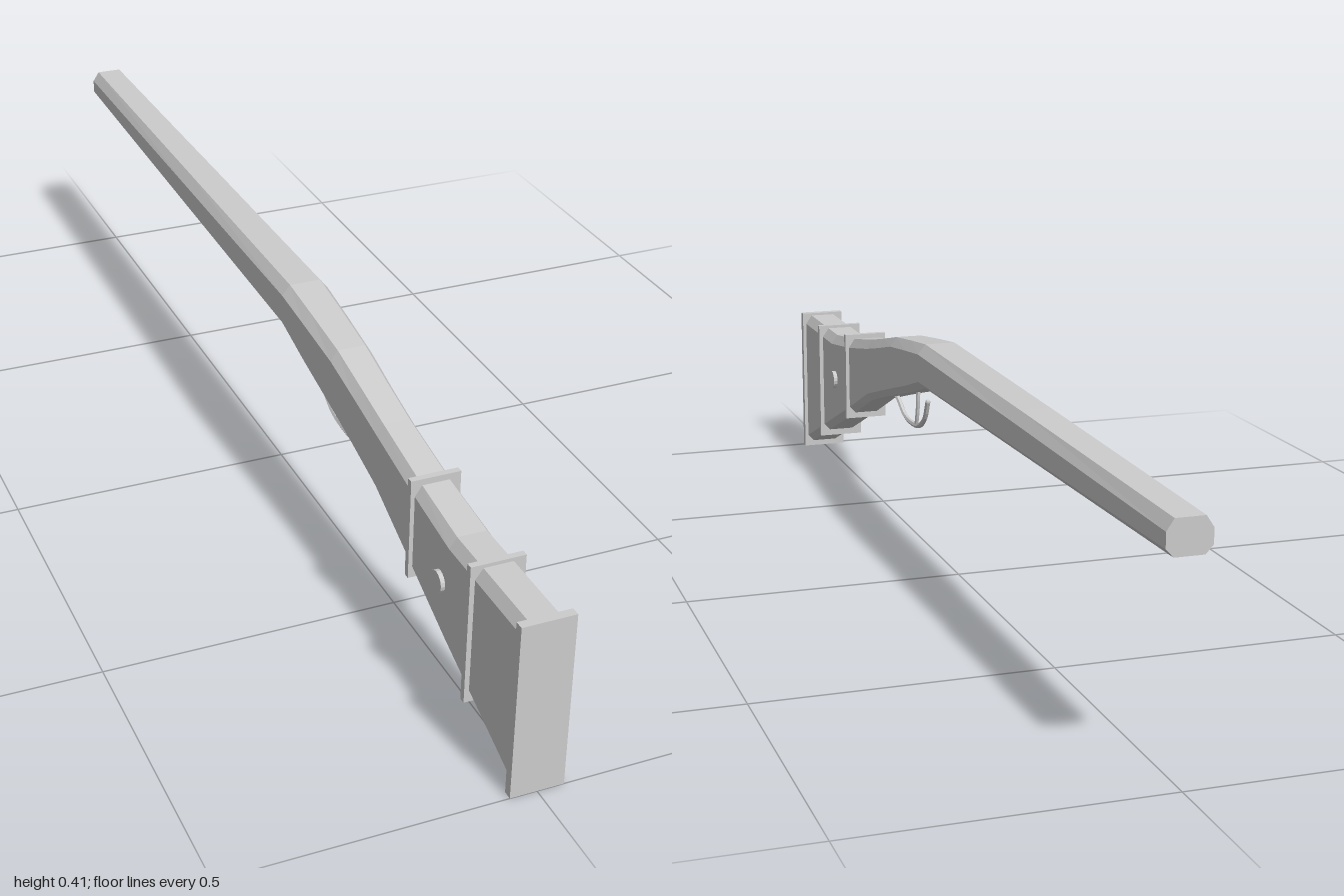
import * as THREE from 'three';

const grey = new THREE.MeshStandardMaterial({ color: 0xcccccc });
grey.name = 'plain grey';
grey.flatShading = true;

// Loft of chamfered cross-sections: [z, bottom, top, half width], ordered from butt to muzzle
function loftBody(sections) {
  const rings = sections.map(([z, b, t, w]) => {
    const f = w * 0.66, ct = 0.018, cb = 0.013;
    return [
      [f, t], [w, t - ct], [w, b + cb], [f, b],
      [-f, b], [-w, b + cb], [-w, t - ct], [-f, t],
    ].map(([x, y]) => new THREE.Vector3(x, y, z));
  });
  const pts = [];
  const n = 8;
  for (let i = 0; i < rings.length - 1; i++) {
    for (let j = 0; j < n; j++) {
      const k = (j + 1) % n;
      const a = rings[i][j], b = rings[i][k], c = rings[i + 1][k], d = rings[i + 1][j];
      pts.push(a, b, c, a, c, d);
    }
  }
  // End caps
  const first = rings[0], last = rings[rings.length - 1];
  for (let j = 1; j < n - 1; j++) {
    pts.push(first[0], first[j + 1], first[j]);
    pts.push(last[0], last[j], last[j + 1]);
  }
  const geo = new THREE.BufferGeometry().setFromPoints(pts);
  geo.computeVertexNormals();
  return geo;
}

export function createModel() {
  const group = new THREE.Group();
  const add = (name, geo, x = 0, y = 0, z = 0) => {
    const mesh = new THREE.Mesh(geo, grey);
    mesh.name = name;
    mesh.position.set(x, y, z);
    group.add(mesh);
    return mesh;
  };

  // Stock and barrel in one continuous body
  add('stockAndBarrel', loftBody([
    [0.99, 0.009, 0.297, 0.037],
    [0.76, 0.103, 0.297, 0.037],
    [0.63, 0.157, 0.314, 0.035],
    [0.49, 0.217, 0.340, 0.034],
    [0.40, 0.243, 0.360, 0.035],
    [0.31, 0.268, 0.381, 0.037],
    [0.20, 0.298, 0.396, 0.040],
    [0.11, 0.325, 0.407, 0.042],
    [-0.40, 0.332, 0.402, 0.039],
    [-1.00, 0.340, 0.395, 0.035],
  ]));

  // Square bands around the stock and the butt plate: [name, z, bottom, top, width, thickness]
  for (const [name, z, b, t, w, d] of [
    ['buttPlate', 0.9925, 0, 0.302, 0.088, 0.015],
    ['rearBand', 0.84, 0.06, 0.303, 0.09, 0.011],
    ['frontBand', 0.63, 0.148, 0.324, 0.084, 0.011],
  ]) add(name, new THREE.BoxGeometry(w, t - b, d), 0, (b + t) / 2, z);

  // Round stud on each side of the stock
  for (const s of [1, -1]) {
    const stud = add(s > 0 ? 'leftStud' : 'rightStud',
      new THREE.CylinderGeometry(0.018, 0.018, 0.012, 16), s * 0.038, 0.207, 0.735);
    stud.rotation.z = Math.PI / 2;
  }

  // Curved trigger guard
  const guard = new THREE.CatmullRomCurve3([
    [0.40, 0.248], [0.375, 0.238], [0.34, 0.220], [0.29, 0.215],
    [0.24, 0.222], [0.205, 0.245], [0.186, 0.280],
  ].map(([z, y]) => new THREE.Vector3(0, y, z)));
  add('triggerGuard', new THREE.TubeGeometry(guard, 20, 0.005, 6, false));
  add('guardTip', new THREE.SphereGeometry(0.005, 8, 6), 0, 0.280, 0.186);

  // Trigger
  const trigger = new THREE.QuadraticBezierCurve3(
    new THREE.Vector3(0, 0.292, 0.248),
    new THREE.Vector3(0, 0.255, 0.248),
    new THREE.Vector3(0, 0.221, 0.261));
  add('trigger', new THREE.TubeGeometry(trigger, 6, 0.004, 6, false));

  return group;
}
